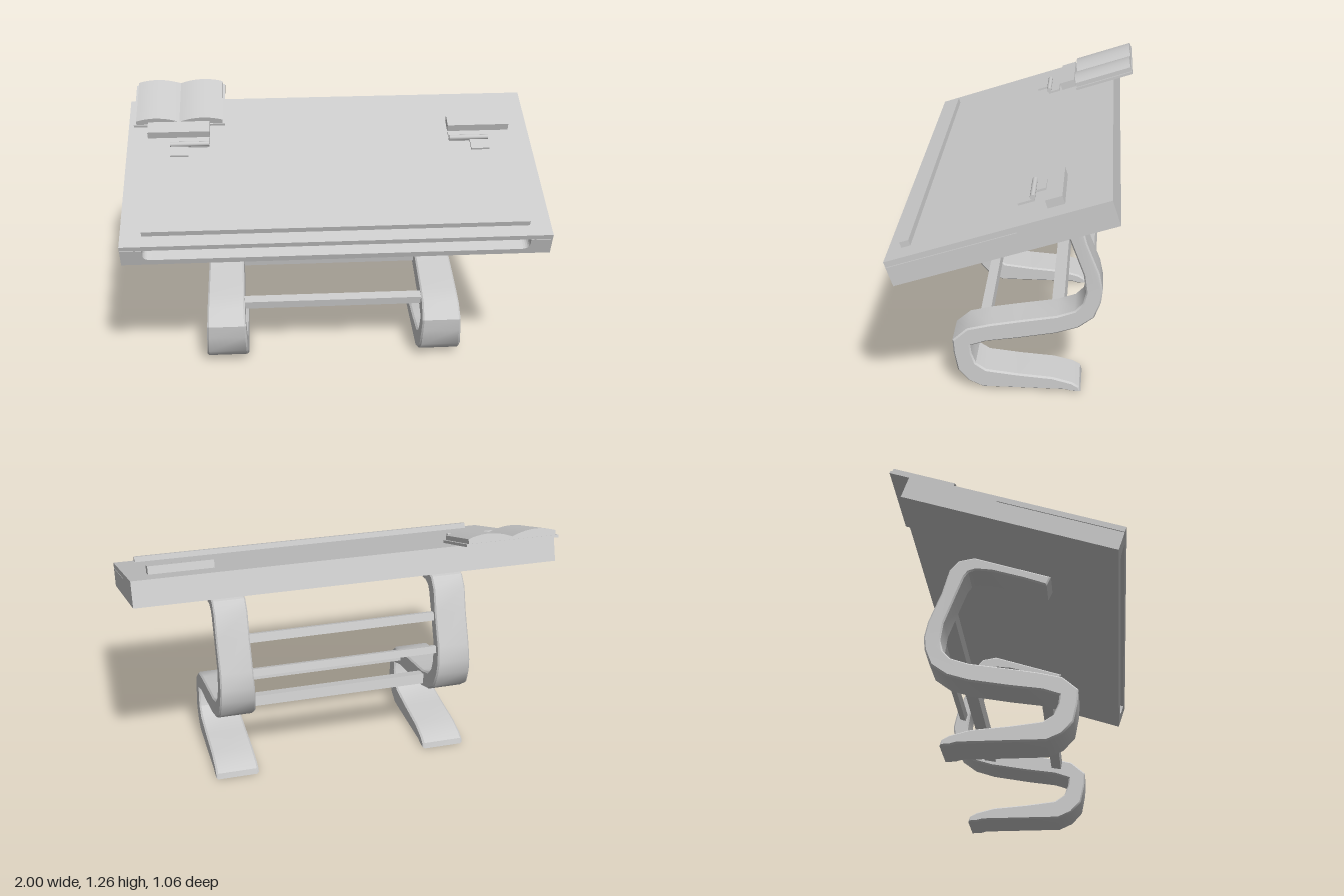
import * as THREE from 'three';
import { toCreasedNormals } from 'three/addons/utils/BufferGeometryUtils.js';

export function createModel() {
  const model = new THREE.Group();
  model.name = 'draftingDesk';
  const grey = new THREE.MeshStandardMaterial({ color: 0xcccccc });

  const add = (parent, name, geometry) => {
    const mesh = new THREE.Mesh(geometry, grey);
    mesh.name = name;
    parent.add(mesh);
    return mesh;
  };

  // Tilted top: local origin on the front top edge, -z runs up the slope
  const top = new THREE.Group();
  top.name = 'tiltedTop';
  top.position.set(0, 0.855, 0.53);
  top.rotation.x = Math.atan2(0.32, 0.963);
  model.add(top);

  // Box given by its ranges: x, height above the surface, distance up the slope
  const slab = (name, x0, x1, n0, n1, u0, u1) => {
    const mesh = add(top, name, new THREE.BoxGeometry(x1 - x0, n1 - n0, u1 - u0));
    mesh.position.set((x0 + x1) / 2, (n0 + n1) / 2, -(u0 + u1) / 2);
    return mesh;
  };

  slab('tabletop', -1, 1, -0.026, 0, 0, 1.015);
  slab('rearBody', -1, 1, -0.12, -0.026, 0.59, 1.015);
  slab('pencilLedge', -0.9, 0.9, 0, 0.027, 0.066, 0.108);

  // Front body with an open compartment with rounded lower corners
  const u = new THREE.Shape();
  u.moveTo(-1, -0.12);
  u.lineTo(1, -0.12);
  u.lineTo(1, -0.029);
  u.lineTo(0.9, -0.029);
  u.lineTo(0.9, -0.05);
  u.quadraticCurveTo(0.9, -0.09, 0.86, -0.09);
  u.lineTo(-0.86, -0.09);
  u.quadraticCurveTo(-0.9, -0.09, -0.9, -0.05);
  u.lineTo(-0.9, -0.029);
  u.lineTo(-1, -0.029);
  u.closePath();
  const bodyGeo = new THREE.ExtrudeGeometry(u, { depth: 0.59, bevelEnabled: false, curveSegments: 6 });
  add(top, 'frontBody', bodyGeo).position.z = -0.59;

  // Book rests, each with a small hinged page clip
  for (const s of [-1, 1]) {
    const block = (name, a, b, ...r) => slab(name, Math.min(s * a, s * b), Math.max(s * a, s * b), ...r);
    block('bookRest', 0.595, 0.902, 0, 0.038, 0.73, 0.807);
    block('clipLowerPlate', 0.698, 0.788, 0, 0.01, 0.59, 0.665);
    block('clipUpperPlate', 0.595, 0.698, 0, 0.01, 0.655, 0.715);
    const pin = add(top, 'clipPin', new THREE.CylinderGeometry(0.012, 0.012, 0.193, 10));
    pin.rotation.z = Math.PI / 2;
    pin.position.set(s * 0.6915, 0.02, -0.661);
  }

  // Open book: cover and two arched page blocks
  slab('bookCover', -0.975, -0.52, 0.001, 0.014, 0.812, 1.121);
  const pages = new THREE.Shape();
  pages.moveTo(-0.215, 0.014);
  pages.lineTo(0.215, 0.014);
  pages.lineTo(0.215, 0.036);
  pages.quadraticCurveTo(0.11, 0.073, 0, 0.028);
  pages.quadraticCurveTo(-0.11, 0.073, -0.215, 0.036);
  pages.closePath();
  const pagesGeo = new THREE.ExtrudeGeometry(pages, { depth: 0.3, bevelEnabled: false, curveSegments: 10 });
  add(top, 'bookPages', toCreasedNormals(pagesGeo, 0.4)).position.set(-0.747, 0, -1.117);

  // S-shaped leg outline as [z, y], first the outer then the inner side
  const outline = [
    [0.18, 0.84], [-0.18, 0.958], [-0.253, 0.945], [-0.297, 0.895], [-0.33, 0.778], [-0.39, 0.628],
    [-0.407, 0.545], [-0.4, 0.478], [-0.37, 0.4], [-0.297, 0.345], [-0.197, 0.312], [-0.013, 0.278],
    [0.137, 0.255], [0.212, 0.228], [0.207, 0.188], [0.187, 0.135], [0.137, 0.102], [-0.013, 0.085],
    [-0.18, 0.072], [-0.273, 0.048], [-0.307, 0.028], [-0.315, 0], [-0.27, 0], [-0.24, 0.008],
    [0.153, 0.008], [0.22, 0.038], [0.273, 0.095], [0.292, 0.188], [0.297, 0.255], [0.227, 0.318],
    [0.12, 0.345], [-0.013, 0.37], [-0.197, 0.402], [-0.28, 0.432], [-0.317, 0.472], [-0.33, 0.53],
    [-0.317, 0.618], [-0.263, 0.762], [-0.227, 0.855], [-0.207, 0.882], [-0.173, 0.892],
    [-0.097, 0.882], [0.053, 0.835], [0.16, 0.795],
  ].map(([z, y]) => new THREE.Vector2(z, y));
  const bevel = 0.007;
  const legGeo = new THREE.ExtrudeGeometry(new THREE.Shape(outline), {
    depth: 0.16 - 2 * bevel, bevelThickness: bevel, bevelSize: bevel, bevelOffset: -bevel, bevelSegments: 1,
  });
  legGeo.translate(0, 0, -0.08 + bevel);
  legGeo.rotateY(-Math.PI / 2);
  // Widen the leg towards the floor
  const pos = legGeo.attributes.position;
  for (let i = 0; i < pos.count; i++) {
    const flare = Math.max(0, 1 - pos.getY(i) / 0.6);
    pos.setX(i, pos.getX(i) * (1 + 0.35 * flare));
  }
  const legSurface = toCreasedNormals(legGeo, 0.6);
  for (const s of [-1, 1]) {
    add(model, s > 0 ? 'leftLeg' : 'rightLeg', legSurface).position.x = s * 0.54;
  }

  // Cross rails as [y, z, height, depth, tilt]
  const rails = [
    [0.757, -0.3, 0.042, 0.03, 0.3],
    [0.6, -0.352, 0.036, 0.03, 0.3],
    [0.362, -0.2, 0.05, 0.06, 0.2],
    [0.305, 0.15, 0.042, 0.05, 0.17],
  ];
  for (const [y, z, h, d, tilt] of rails) {
    const rail = add(model, 'crossRail', new THREE.BoxGeometry(0.94, h, d));
    rail.position.set(0, y, z);
    rail.rotation.x = tilt;
  }

  return model;
}
